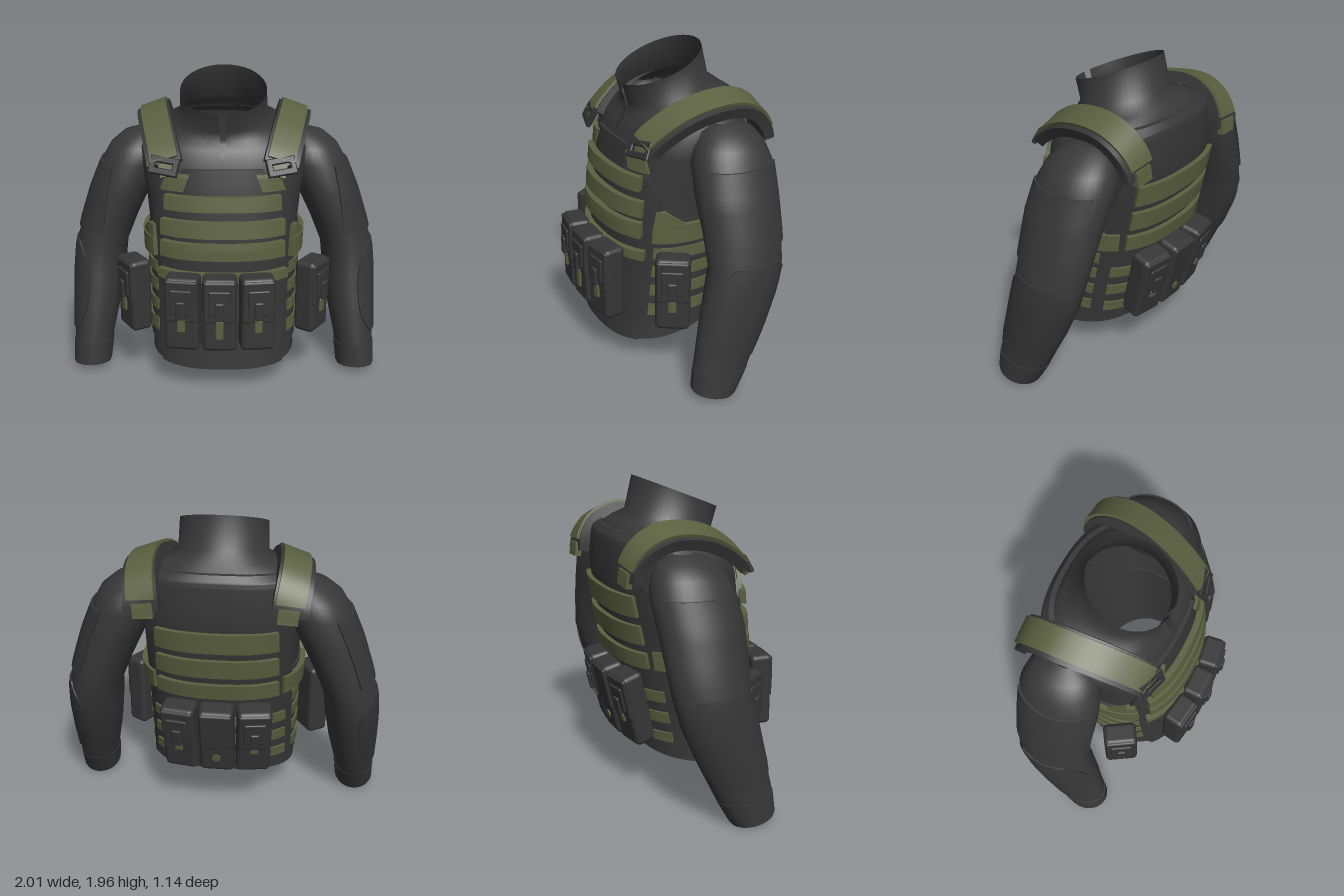
import * as THREE from 'three';
import { mergeVertices } from 'three/addons/utils/BufferGeometryUtils.js';
import { RoundedBoxGeometry } from 'three/addons/geometries/RoundedBoxGeometry.js';

const flat = (name, color, side = THREE.FrontSide) => {
  const m = new THREE.MeshStandardMaterial({ color, side });
  m.name = name;
  return m;
};

// Cross-sections: [yFront, yBack, centreX, halfWidth, zFront, zBack, frontGap, roundness]
const TORSO = [
  [0.155, 0.26, 0, 0.46, 0.405, -0.31, 0, 2.5],
  [0.40, 0.40, 0, 0.45, 0.375, -0.33, 0, 2.5],
  [0.70, 0.70, 0, 0.455, 0.355, -0.39, 0, 2.5],
  [0.95, 0.95, 0, 0.465, 0.345, -0.435, 0, 2.5],
  [1.20, 1.20, 0, 0.49, 0.31, -0.475, 0, 2.5],
  [1.38, 1.38, 0, 0.52, 0.28, -0.495, 0, 2.5],
  [1.49, 1.51, 0, 0.53, 0.245, -0.50, 0, 2.5],
  [1.53, 1.63, 0, 0.485, 0.215, -0.475, 0.01, 2.5],
  [1.58, 1.71, 0, 0.37, 0.19, -0.41, 0.03, 2.3],
  [1.63, 1.76, 0, 0.275, 0.19, -0.34, 0.06, 2],
  [1.75, 1.965, 0, 0.268, 0.23, -0.29, 0.1, 2],
];
const ARM = [
  [0.06, 0.01, 0.878, 0.118, 0.20, -0.07, 0, 2],
  [0.22, 0.20, 0.867, 0.126, 0.185, -0.175, 0, 2],
  [0.45, 0.45, 0.842, 0.153, 0.137, -0.29, 0, 2],
  [0.65, 0.65, 0.825, 0.167, 0.095, -0.37, 0, 2],
  [0.82, 0.82, 0.81, 0.168, 0.06, -0.415, 0, 2],
  [1.00, 1.00, 0.75, 0.18, 0.06, -0.43, 0, 2],
  [1.20, 1.20, 0.67, 0.195, 0.065, -0.44, 0, 2.1],
  [1.38, 1.38, 0.59, 0.20, 0.05, -0.45, 0, 2.1],
  [1.48, 1.48, 0.55, 0.183, 0.01, -0.42, 0, 2.1],
  [1.55, 1.55, 0.515, 0.135, -0.05, -0.37, 0, 2],
  [1.585, 1.585, 0.49, 0.05, -0.14, -0.27, 0, 2],
];

const spow = (v, p) => Math.sign(v) * Math.abs(v) ** p;
const mid = (r) => (r[0] + r[1]) / 2;

function ringAt(rings, y) {
  let i = 0;
  while (i < rings.length - 2 && y > mid(rings[i + 1])) i++;
  const t = (y - mid(rings[i])) / (mid(rings[i + 1]) - mid(rings[i]));
  return rings[i].map((v, k) => THREE.MathUtils.lerp(v, rings[i + 1][k], t));
}

// Point on a ring; angle 0 is the front, a quarter turn is +x
function onRing([yf, yb, cx, w, zf, zb, , n], a) {
  const c = spow(Math.cos(a), 2 / n);
  return new THREE.Vector3(cx + w * spow(Math.sin(a), 2 / n),
    yb + (yf - yb) * (c + 1) / 2, (zf + zb) / 2 + c * (zf - zb) / 2);
}

function loft(rings, cols = 56) {
  const pos = [], idx = [];
  rings.forEach((r, i) => {
    for (let j = 0; j <= cols; j++) {
      pos.push(...onRing(r, r[6] + (2 * Math.PI - 2 * r[6]) * j / cols).toArray());
      if (i && j) {
        const d = i * (cols + 1) + j, b = d - cols - 1;
        idx.push(b - 1, b, d, b - 1, d, d - 1);
      }
    }
  });
  let g = new THREE.BufferGeometry();
  g.setAttribute('position', new THREE.Float32BufferAttribute(pos, 3));
  g.setIndex(idx);
  g = mergeVertices(g, 1e-5);
  g.computeVertexNormals();
  return g;
}

// Bends a box by a rule: (u, v, w) in 0..1 gives a point
function bend(nu, nv, rule) {
  const g = new THREE.BoxGeometry(1, 1, 1, nu, nv, 1), p = g.attributes.position;
  for (let i = 0; i < p.count; i++) {
    const q = rule(p.getX(i) + 0.5, p.getY(i) + 0.5, p.getZ(i) + 0.5);
    p.setXYZ(i, q.x, q.y, q.z);
  }
  g.computeVertexNormals();
  return g;
}

// Padded patch lying on a lofted surface, between two angles and two heights
function patch(rings, y0, y1, a0, a1, o0, o1) {
  const val = (f, y) => (typeof f === 'function' ? f(y) : f);
  return bend(20, 10, (u, v, w) => {
    const y = y0 + (y1 - y0) * v, r = ringAt(rings, y);
    const a = THREE.MathUtils.lerp(val(a0, y), val(a1, y), u);
    const t = onRing(r, a + 0.02).sub(onRing(r, a - 0.02));
    const n = new THREE.Vector3(-t.z, 0, t.x).normalize();
    return onRing(r, a).addScaledVector(n, o0 + (o1 - o0) * w);
  });
}

// Angle on the torso where it is x wide
const angleOf = (x, y) => {
  const r = ringAt(TORSO, y);
  return Math.asin(Math.min(1, (x / r[3]) ** (r[7] / 2)));
};
// Patch centred on the chest or the back; half is a width or a function of height
function panel(back, y0, y1, half, o0, o1) {
  const w = typeof half === 'function' ? half : () => half, c = back ? Math.PI : 0;
  return patch(TORSO, y0, y1, (y) => c - angleOf(w(y), y), (y) => c + angleOf(w(y), y), o0, o1);
}

// Strap path over the shoulder, and a band along it from inner side s0 to outer side s1
const STRAP = new THREE.CatmullRomCurve3([
  [0.325, 1.39, 0.29], [0.345, 1.48, 0.245], [0.38, 1.585, 0.12], [0.41, 1.655, -0.01], [0.435, 1.695, -0.16],
  [0.445, 1.695, -0.31], [0.44, 1.635, -0.435], [0.425, 1.53, -0.51], [0.415, 1.41, -0.53],
].map((p) => new THREE.Vector3(...p)));
function strap(t0, t1, s0, s1, o0, o1) {
  return bend(3, 36, (u, v, w) => {
    const t = t0 + (t1 - t0) * v, tan = STRAP.getTangent(t), side = new THREE.Vector3(1, -0.36, 0);
    side.addScaledVector(tan, -tan.dot(side)).normalize();
    const up = new THREE.Vector3().crossVectors(side, tan).normalize();
    return STRAP.getPoint(t).addScaledVector(side, s0 + (s1 - s0) * u).addScaledVector(up, o0 + (o1 - o0) * w);
  });
}

export function createModel() {
  const model = new THREE.Group();
  model.name = 'tacticalJacket';
  const cloth = flat('charcoal cloth', 0x383838, THREE.DoubleSide);
  const vest = flat('vest fabric', 0x363636);
  const olive = flat('olive webbing', 0x5b6040);
  const dark = flat('dark buckle', 0x303030);
  const add = (parent, name, geo, mat, pos = [0, 0, 0], rot = [0, 0, 0]) => {
    const m = new THREE.Mesh(geo, mat);
    m.name = name;
    m.position.set(...pos);
    m.rotation.set(...rot);
    parent.add(m);
    return m;
  };

  // Jacket body with open hem and split collar
  add(model, 'jacketBody', loft(TORSO), cloth);
  add(model, 'zipper', patch(TORSO, 1.48, 1.66, (y) => (1.47 - y) * 0.2, (y) => (y - 1.47) * 0.2, 0, 0.008), dark);

  // Chest and back panels of the vest
  const chestWidth = (y) => (y > 1.15 ? THREE.MathUtils.lerp(0.42, 0.23, (y - 1.15) / 0.29)
    : y < 0.3 ? 0.42 - (0.3 - y) * 0.6 : 0.42);
  add(model, 'chestPanel', panel(false, 0.21, 1.43, chestWidth, -0.01, 0.02), vest);
  add(model, 'backPanel', panel(true, 0.26, 1.56, (y) => (y > 1.3 ? 0.42 - (y - 1.3) * 0.25 : 0.42), -0.01, 0.03), vest);
  add(model, 'dragHandle', panel(true, 1.56, 1.61, 0.33, -0.01, 0.03), vest);
  for (const [y, h, w] of [[1.228, 0.045, 0.33], [1.072, 0.05, 0.35], [0.935, 0.05, 0.35], [0.77, 0.03, 0.365]])
    add(model, 'chestWebbing', panel(false, y - h, y + h, w, 0.015, 0.058), olive);
  for (const [y, h] of [[1.26, 0.065], [1.08, 0.06], [0.915, 0.05]])
    add(model, 'backWebbing', panel(true, y - h, y + h, 0.34, 0.025, 0.06), olive);
  for (const y of [0.4, 0.54, 0.68])
    add(model, 'lowerBackWebbing', panel(true, y - 0.035, y + 0.035, 0.38, 0.025, 0.045), olive);

  // Pouch: body, flap, and either a buckle or a plain stud; tab is the length of the pull tab
  const pouch = (parent, name, pos, rot, tab) => {
    const g = new THREE.Group();
    g.name = name;
    g.position.set(...pos);
    g.rotation.set(...rot);
    parent.add(g);
    add(g, 'pouchBody', new RoundedBoxGeometry(0.212, 0.475, 0.14, 3, 0.03), vest);
    add(g, 'pouchFlap', new RoundedBoxGeometry(0.196, 0.27, 0.03, 2, 0.014), vest, [0, 0.09, 0.062]);
    if (!tab) {
      add(g, 'stud', new THREE.CylinderGeometry(0.028, 0.028, 0.01, 12), olive, [0, -0.12, 0.072], [Math.PI / 2, 0, 0]);
      return;
    }
    add(g, 'buckle', new RoundedBoxGeometry(0.135, 0.16, 0.02, 2, 0.009), vest, [0, 0.09, 0.08]);
    add(g, 'buckleStem', new RoundedBoxGeometry(0.056, 0.12, 0.025, 2, 0.01), vest, [0, 0.04, 0.092]);
    add(g, 'pullTab', new RoundedBoxGeometry(0.05, tab, 0.02, 2, 0.009), olive, [0, -0.02 - tab / 2, 0.076]);
  };
  pouch(model, 'frontPouch', [-0.015, 0.575, 0.46], [0, 0, 0], 0.13);
  pouch(model, 'frontPouch', [-0.24, 0.575, 0.445], [0, -0.14, 0], 0.09);
  pouch(model, 'frontPouch', [0.212, 0.575, 0.445], [0, 0.14, 0], 0.09);
  for (const x of [-0.225, 0, 0.225])
    pouch(model, 'backPouch', [x, 0.59, x ? -0.43 : -0.45], [0.22, Math.PI - x * 0.7, 0, 'YXZ'], Math.abs(x) * 0.25);

  // Buckle frame outline
  const corners = (w, h) => [[-w, -h], [w, -h], [w, h], [-w, h]].map((p) => new THREE.Vector2(...p));
  const frame = new THREE.Shape(corners(0.085, 0.05));
  frame.holes.push(new THREE.Path(corners(0.06, 0.022).reverse()));
  const frameGeo = new THREE.ExtrudeGeometry(frame, { depth: 0.02, bevelEnabled: true, bevelSize: 0.006, bevelThickness: 0.006, bevelSegments: 1 });

  // Everything paired, built on the +x side and mirrored
  for (const s of [1, -1]) {
    const half = new THREE.Group();
    half.name = s > 0 ? 'leftSide' : 'rightSide';
    half.scale.x = s;
    model.add(half);

    // Sleeve with shoulder pad, elbow pad and cuff
    add(half, 'sleeve', loft(ARM, 36), cloth);
    add(half, 'upperArmPad', patch(ARM, 0.94, 1.38, (y) => (y - 0.94) * 1.2, 2.6, -0.01, 0.012), vest);
    const taper = (y) => 0.6 * Math.abs((y - 0.56) / 0.28) ** 3;
    add(half, 'elbowPad', patch(ARM, 0.28, 0.85, (y) => 0.25 + taper(y), (y) => 2.9 - taper(y), -0.01, 0.01), vest);
    add(half, 'cuff', patch(ARM, 0.05, 0.19, 0, 2 * Math.PI, -0.004, 0.006), cloth);

    // Shoulder strap, its pad, buckle and anchor tabs
    add(half, 'strapPad', strap(0.1, 0.96, -0.095, 0.118, -0.055, 0.013), vest);
    add(half, 'shoulderStrap', strap(0.12, 0.89, -0.08, 0.088, 0.005, 0.032), olive);
    add(half, 'strapEnd', strap(0, 0.12, -0.05, 0.05, -0.02, 0.01), olive);
    add(half, 'strapBuckle', frameGeo, dark, [0.35, 1.445, 0.27], [-0.5, 0.2, 0.22]);
    add(half, 'strapTab', patch(TORSO, 1.295, 1.4, (y) => angleOf(0.18 + (1.44 - y) * 0.35, y), (y) => angleOf(0.315 + (1.44 - y) * 0.35, y), 0.01, 0.035), olive);
    add(half, 'backStrapTab', strap(0.91, 1, -0.06, 0.06, -0.01, 0.03), olive);

    // Side belt with webbing rows
    add(half, 'sideBelt', patch(TORSO, 0.3, 1.0, 0.95, 2.25, -0.01, 0.015), vest);
    for (const y of [0.4, 0.53, 0.66, 0.78])
      add(half, 'sideWebbing', patch(TORSO, y - 0.036, y + 0.036, 0.98, 2.3, 0.01, 0.028), olive);
    add(half, 'upperSideBand', patch(TORSO, 0.86, 0.98, 0.95, 2.3, 0.01, 0.05), olive);
    add(half, 'sideBandTab', patch(TORSO, 0.97, 1.06, 0.95, (y) => 1.45 - (y - 0.97) * 4, 0.005, 0.04), olive);
    pouch(half, 'sidePouch', [0.565, 0.585, 0.17], [0, 1.0, 0], 0.09);
  }
  return model;
}
